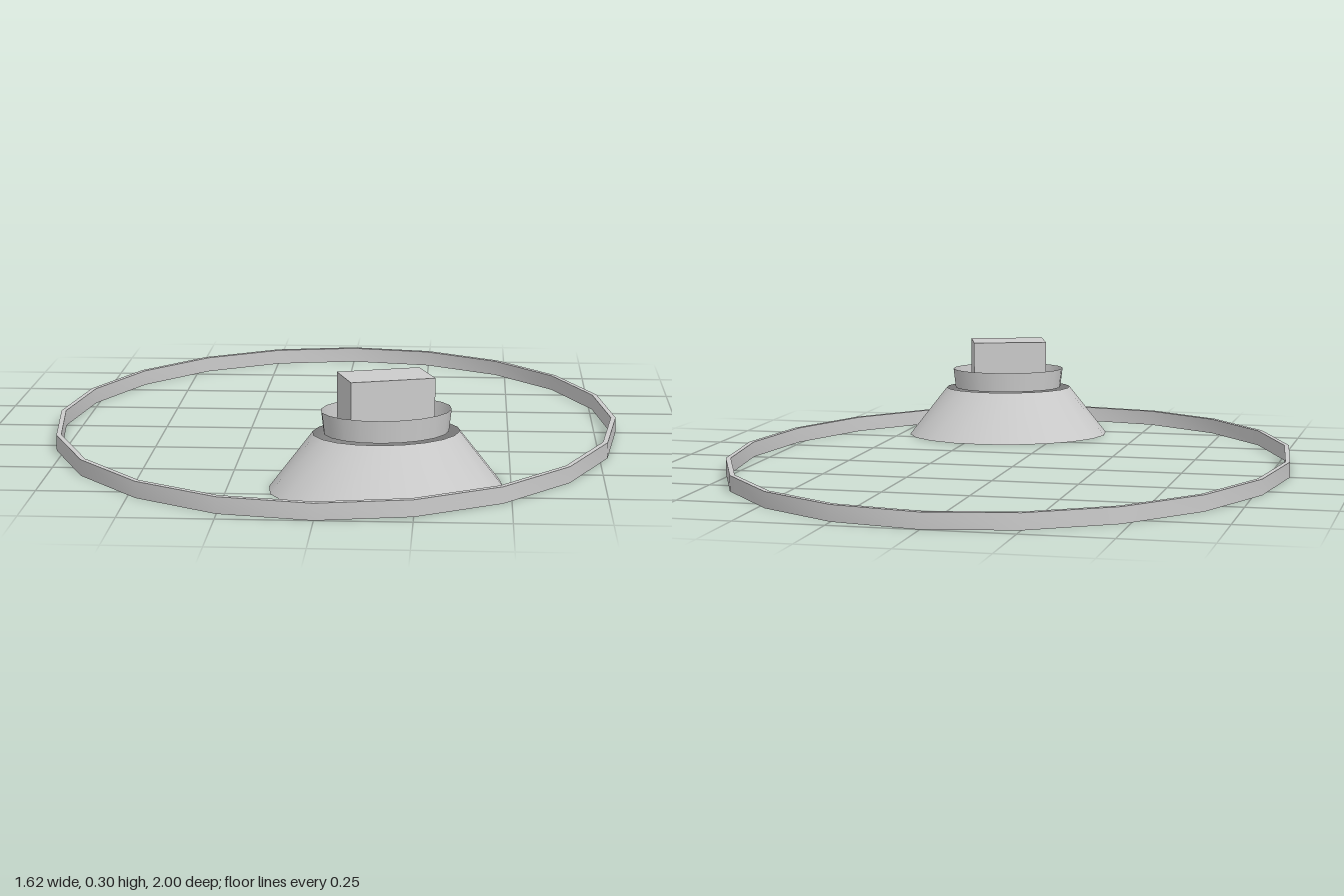
import * as THREE from 'three';
import { toCreasedNormals } from 'three/addons/utils/BufferGeometryUtils.js';

const SIDES = 20;
const OVAL = 0.812; // width to length ratio of the large ring

export function createModel() {
  const model = new THREE.Group();
  const material = new THREE.MeshStandardMaterial({ color: 0xcccccc, side: THREE.DoubleSide });

  const add = (parent, name, geometry, y = 0) => {
    const mesh = new THREE.Mesh(geometry, material);
    mesh.name = name;
    mesh.position.y = y;
    parent.add(mesh);
    return mesh;
  };

  // Large flat oval ring with a thin rectangular section
  const section = [[1, 0], [1, 0.045], [0.983, 0.045], [0.983, 0], [1, 0]];
  const ring = new THREE.LatheGeometry(section.map(([r, y]) => new THREE.Vector2(r, y)), SIDES);
  ring.scale(OVAL, 1, 1);
  add(model, 'outerRing', toCreasedNormals(ring, Math.PI / 5));

  // Turned stack standing near the front of the ring
  const stack = new THREE.Group();
  stack.name = 'stack';
  stack.position.set(0.169, 0, 0.65);
  stack.rotation.y = THREE.MathUtils.degToRad(18);
  model.add(stack);

  // Open oval walls: wide skirt, then a slightly flared collar
  const wall = (name, top, bottom, y0, y1) => {
    const g = new THREE.CylinderGeometry(top, bottom, y1 - y0, SIDES, 1, true);
    g.scale(1, 1, 0.81);
    add(stack, name, g, (y0 + y1) / 2);
  };
  wall('skirt', 0.197, 0.315, 0, 0.15);
  wall('collar', 0.175, 0.168, 0.15, 0.21);

  // Block rising out of the collar
  const block = add(stack, 'block', new THREE.BoxGeometry(0.228, 0.15, 0.145), 0.225);
  block.position.z = -0.007;

  return model;
}
